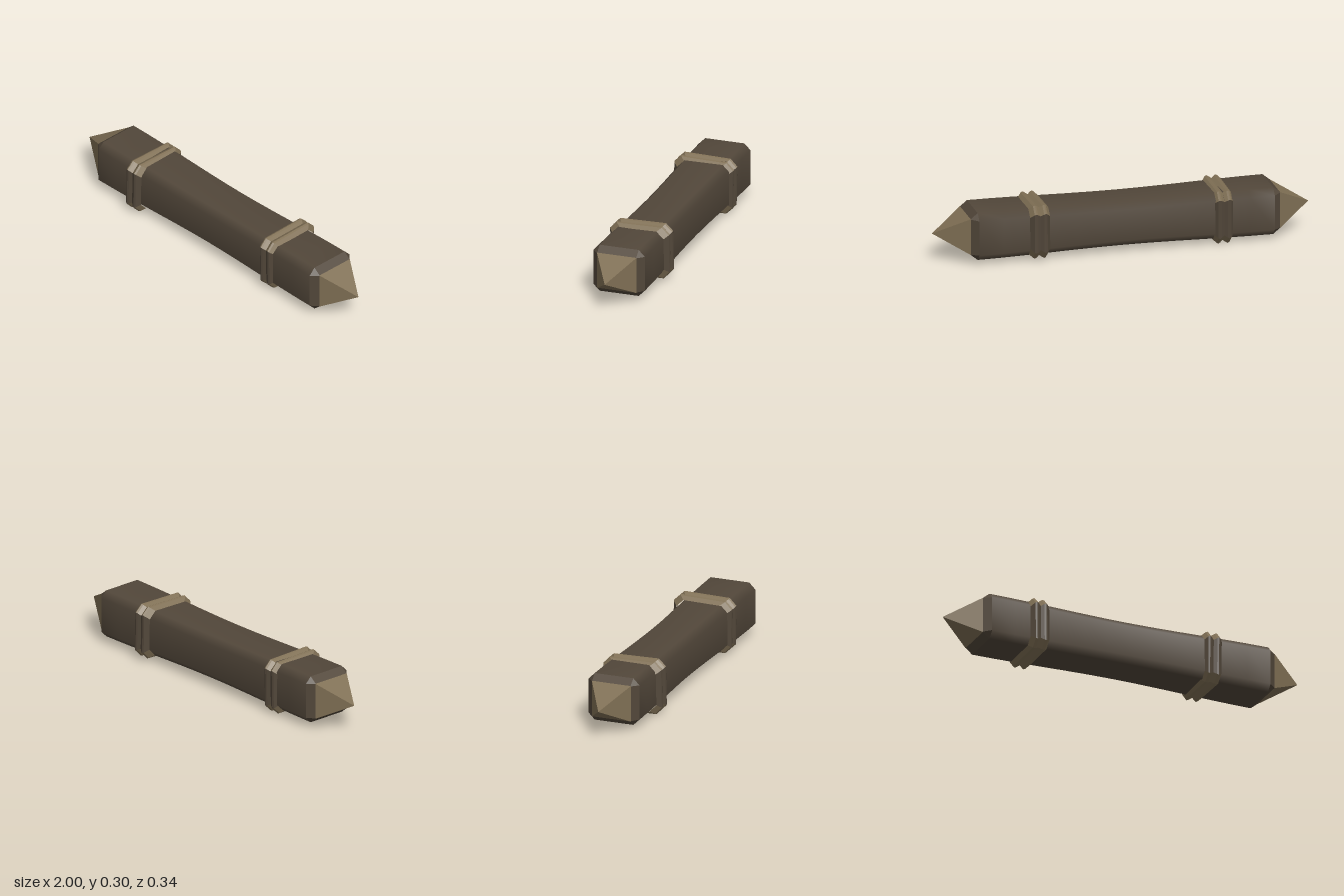
import * as THREE from 'three';
import { mergeVertices } from 'three/addons/utils/BufferGeometryUtils.js';

// Corners of a chamfered rectangle, half height h, half depth w, chamfer c
function ring([x, h, w, c]) {
  return [[h, c - w], [h, w - c], [h - c, w], [c - h, w], [-h, w - c], [-h, c - w], [c - h, -w], [h - c, -w]]
    .map(([y, z]) => [x, y, z]);
}

// Skin cross-sections along x; group 0 = top, bottom and corners, group 1 = front and back
function loft(sections) {
  const rings = sections.map(ring), pos = [[], []];
  for (let i = 0; i < rings.length - 1; i++) {
    const a = rings[i], b = rings[i + 1];
    for (let j = 0; j < 8; j++) {
      const k = (j + 1) % 8;
      pos[j % 4 === 2 ? 1 : 0].push(...a[j], ...a[k], ...b[k], ...a[j], ...b[k], ...b[j]);
    }
  }
  const g = new THREE.BufferGeometry();
  g.setAttribute('position', new THREE.Float32BufferAttribute(pos.flat(), 3));
  g.addGroup(0, pos[0].length / 3, 0);
  g.addGroup(pos[0].length / 3, pos[1].length / 3, 1);
  g.computeVertexNormals();
  return g;
}

export function createModel() {
  const dark = new THREE.MeshStandardMaterial({ color: 0x52473a });
  dark.name = 'darkBrown';
  const light = new THREE.MeshStandardMaterial({ color: 0x807055 });
  light.name = 'lightBrown';

  const model = new THREE.Group();
  model.name = 'beam';
  const add = (name, geo, mat, parent = model) => {
    const m = new THREE.Mesh(geo, mat);
    m.name = name;
    parent.add(m);
    return m;
  };
  const midY = 0.153;

  // Shaft with a slight waist, softly shaded across its corners
  const stations = [];
  for (let i = 0; i <= 12; i++) {
    const x = -0.785 + (1.57 * i) / 12;
    const waist = Math.cos((x / 0.785) * Math.PI / 2) ** 2;
    stations.push([x, 0.127 - 0.01 * waist, 0.141 - 0.009 * waist, 0.034]);
  }
  let shaftGeo = loft(stations);
  shaftGeo.deleteAttribute('normal');
  shaftGeo = mergeVertices(shaftGeo);
  shaftGeo.computeVertexNormals();
  add('shaft', shaftGeo, [dark, dark]).position.y = midY;

  // Bevelled ends and pyramid points
  for (const s of [-1, 1]) {
    const end = new THREE.Group();
    end.name = s > 0 ? 'leftEnd' : 'rightEnd';
    end.position.y = midY;
    if (s < 0) end.rotation.y = Math.PI;
    model.add(end);
    add('endBevel', loft([[0.785, 0.127, 0.141, 0.034], [0.822, 0.097, 0.108, 0.002]]), [dark, dark], end);
    const tip = new THREE.ConeGeometry(Math.SQRT2, 0.178, 4, 1).toNonIndexed();
    tip.rotateY(Math.PI / 4);
    tip.rotateZ(-Math.PI / 2);
    tip.scale(1, 0.097, 0.108);
    tip.translate(0.911, 0, 0);
    tip.computeVertexNormals();
    add('point', tip, light, end);
  }

  // Double-ridged bands, set slightly askew
  const profile = [
    [-0.053, 0.122, 0.138], [-0.034, 0.139, 0.16], [-0.025, 0.143, 0.163], [-0.016, 0.139, 0.16], [0, 0.129, 0.15],
    [0.016, 0.139, 0.16], [0.025, 0.143, 0.163], [0.034, 0.139, 0.16], [0.053, 0.122, 0.138],
  ].map(([x, h, w]) => [x, h, w, 0.038]);
  for (const [name, x, y, z, roll] of [
    ['leftBand', 0.463, 0.003, -0.007, 0.02],
    ['rightBand', -0.517, -0.005, 0.007, -0.02],
  ]) {
    const band = add(name, loft(profile), [light, dark]);
    band.position.set(x, midY + y, z);
    band.rotation.x = roll;
  }
  return model;
}
